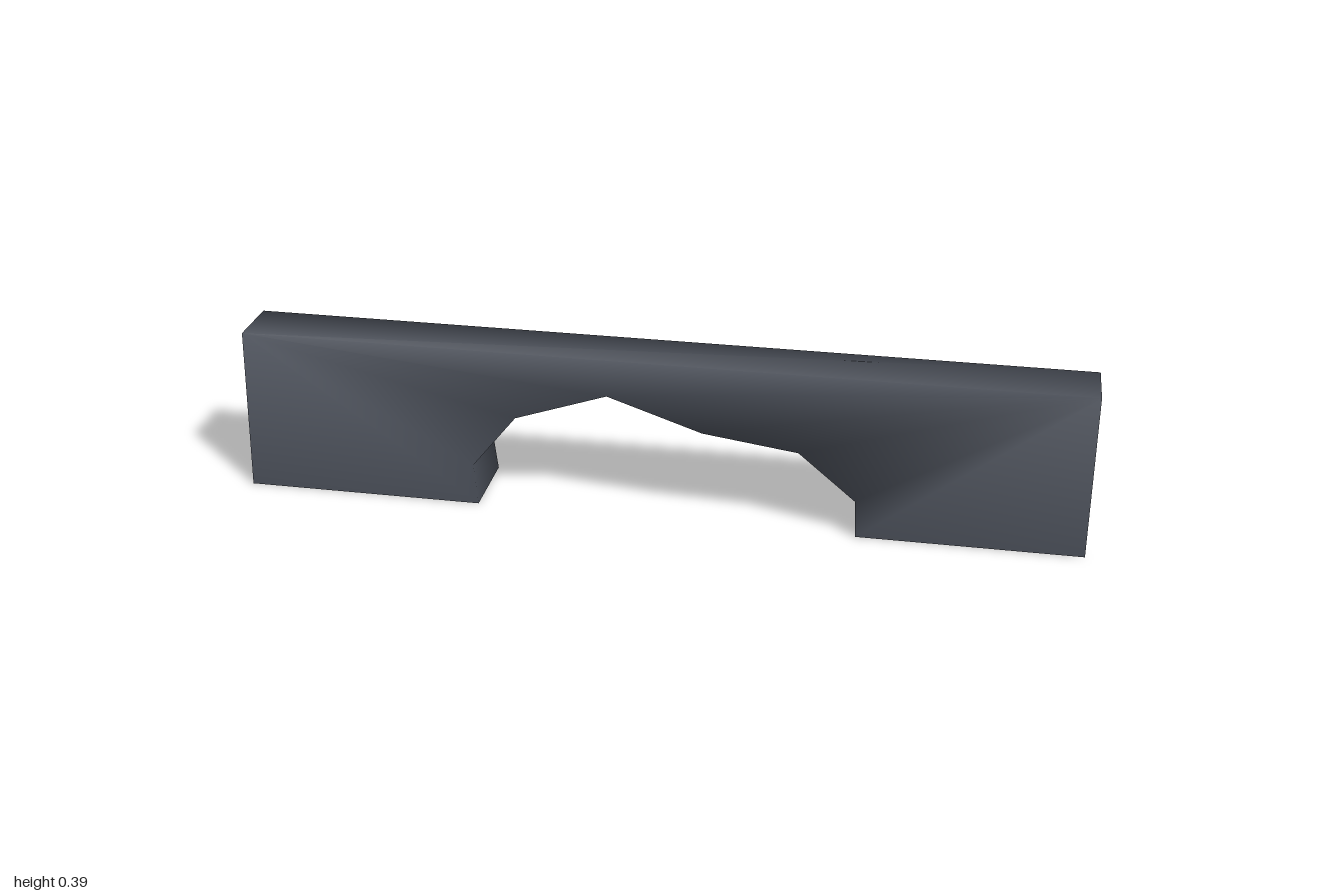
import * as THREE from 'three';

export function createModel() {
  const group = new THREE.Group();
  group.name = 'archedCover';
  const darkGrey = new THREE.MeshStandardMaterial({ color: 0x4b505a, side: THREE.DoubleSide });
  darkGrey.name = 'darkGrey';

  // Front wall: two top corners, then the lower edge from left to right (x, y, z)
  const wall = [
    [-1, 0.39, 0.07], [1, 0.39, 0.07],
    [-1, 0, 0.095],
    [-0.43, 0, 0.095], [-0.44, 0.1, 0.09], [-0.335, 0.23, 0.083], [-0.115, 0.305, 0.082],
    [0.11, 0.23, 0.083], [0.335, 0.2, 0.084], [0.47, 0.09, 0.09], [0.475, 0, 0.095],
    [1, 0, 0.095],
  ];
  const n = wall.length, topLeft = 0, topRight = 1, apex = 6;
  const positions = [...wall, ...wall.map(([x, y, z]) => [x, y, -z])].flat();
  const index = [];

  // A triangle on the front wall and its mirror on the back wall
  const both = (a, b, c) => index.push(a, b, c, a + n, c + n, b + n);
  for (let i = 2; i < n - 1; i++) both(i < apex ? topLeft : topRight, i, i + 1);
  both(topLeft, apex, topRight);

  // A strip joining the two walls along one edge
  const bridge = (a, b) => index.push(a, a + n, b, b, a + n, b + n);
  for (let i = 3; i < n - 2; i++) bridge(i, i + 1); // arch lining
  bridge(topRight, topLeft); // flat top

  // Smooth shell, open at both ends and under the legs
  const geometry = new THREE.BufferGeometry();
  geometry.setAttribute('position', new THREE.Float32BufferAttribute(positions, 3));
  geometry.setIndex(index);
  geometry.computeVertexNormals();
  const shell = new THREE.Mesh(geometry, darkGrey);
  shell.name = 'archedShell';
  group.add(shell);
  return group;
}
